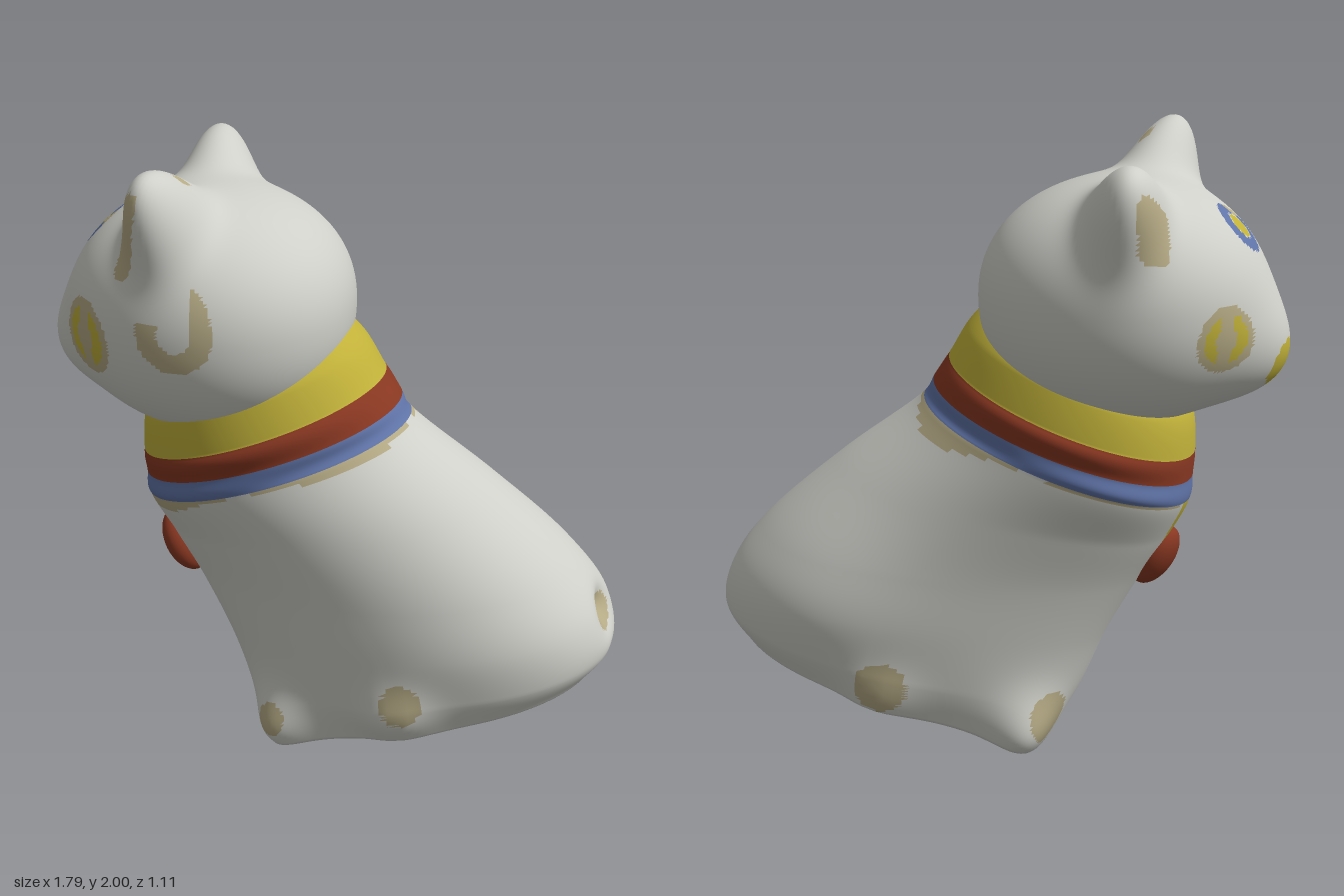
import * as THREE from 'three';

const palette = {
  glaze: 0xcfcfc9, yellow: 0xc2b23a, red: 0x8a3822,
  blue: 0x6074a8, tan: 0xb6ab86, dark: 0x121212,
};
const names = Object.keys(palette);
const materials = names.map((name) => {
  const m = new THREE.MeshStandardMaterial({ color: palette[name] });
  m.name = name;
  return m;
});
const V = (x, y, z) => new THREE.Vector3(x, y, z);

// Closed skin of rows x cols points; paint(point, row) names the colour of each triangle
function skin(name, rows, cols, point, paint) {
  const pts = [];
  for (let i = 0; i <= rows; i++)
    for (let j = 0; j < cols; j++) pts.push(point(i, (j / cols) * Math.PI * 2));
  const buckets = names.map(() => []);
  const mid = V(0, 0, 0);
  const tri = (row, a, b, c) => {
    mid.copy(pts[a]).add(pts[b]).add(pts[c]).divideScalar(3);
    buckets[names.indexOf(paint(mid, row))].push(a, b, c);
  };
  for (let i = 0; i < rows; i++)
    for (let j = 0; j < cols; j++) {
      const k = (j + 1) % cols;
      const a = i * cols + j, b = i * cols + k, c = a + cols, d = b + cols;
      tri(i + 0.5, a, b, d);
      tri(i + 0.5, a, d, c);
    }
  const geo = new THREE.BufferGeometry().setFromPoints(pts);
  geo.setIndex(buckets.flat());
  let start = 0;
  buckets.forEach((b, m) => {
    if (b.length) geo.addGroup(start, b.length, m);
    start += b.length;
  });
  geo.computeVertexNormals();
  const mesh = new THREE.Mesh(geo, materials);
  mesh.name = name;
  return mesh;
}

// Body: slanted sections from base to neck [frontX, frontY, backX, backY, frontWidth, backWidth]
const sections = [
  [-0.19, 0.02, 0.82, 0.33, 0.28, 0.36],
  [-0.265, 0.16, 0.875, 0.42, 0.30, 0.42],
  [-0.35, 0.36, 0.85, 0.55, 0.30, 0.45],
  [-0.45, 0.55, 0.74, 0.70, 0.30, 0.43],
  [-0.54, 0.70, 0.49, 0.93, 0.32, 0.39],
  [-0.61, 0.84, 0.22, 1.15, 0.36, 0.355],
  [-0.615, 0.91, 0.19, 1.205, 0.36, 0.355],
  [-0.62, 0.99, 0.14, 1.285, 0.36, 0.355],
  [-0.61, 1.12, 0.08, 1.39, 0.345, 0.34],
  [-0.55, 1.25, 0.0, 1.48, 0.27, 0.27],
];
const axisZ = (x) => 0.005 - (x > 0 ? 0.32 : 0.25) * x;
const frontLine = new THREE.CatmullRomCurve3(sections.map((s) => V(s[0], s[1], axisZ(s[0]))));
const backLine = new THREE.CatmullRomCurve3(sections.map((s) => V(s[2], s[3], axisZ(s[2]))));
const widths = new THREE.CatmullRomCurve3(sections.map((s) => V(s[4], s[5], 0)));
const across = V(0.25, 0, 1).normalize();

// Soft pushes that form paws, haunch, tail hollow and base hollow: place, movement, reach
const pushes = [
  [V(-0.08, 0.09, 0.3), V(-0.02, -0.02, 0.1), 0.12],
  [V(-0.2, 0.08, -0.17), V(-0.05, -0.03, -0.06), 0.12],
  [V(0.37, 0.22, 0.25), V(0, 0, 0.06), 0.12],
  [V(0.2, 0.18, -0.38), V(0, 0, -0.05), 0.12],
  [V(0.38, 0.52, -0.48), V(0, 0, -0.035), 0.28],
  [V(0.84, 0.52, -0.27), V(-0.06, 0, 0.01), 0.07],
  [V(0.53, 0.25, -0.18), V(-0.01, 0.05, 0), 0.09],
];
const pawMarks = [V(-0.09, 0.15, 0.38), V(-0.28, 0.12, -0.13), V(0.4, 0.32, 0.33), V(0.18, 0.25, -0.43)];
const capRows = 18, perSection = 14;
const bodyRows = capRows + perSection * (sections.length - 1);

function bodyPoint(i, angle) {
  const t = Math.max(0, i - capRows) / (bodyRows - capRows);
  const shrink = Math.min(1, i / capRows);
  const f = frontLine.getPoint(t), b = backLine.getPoint(t), w = widths.getPoint(t);
  // Squarer at the front paws, rounder at the rump
  const square = Math.cos(angle) > 0 ? 0.68 : 0.95;
  const power = square + (1 - square) * Math.min(1, t * 2.2);
  const bend = (v) => Math.sign(v) * Math.abs(v) ** power;
  const along = 0.5 - 0.5 * bend(Math.cos(angle)) * shrink;
  const p = f.lerp(b, along);
  p.addScaledVector(across, (w.x + (w.y - w.x) * along) * bend(Math.sin(angle)) * shrink);
  const q = p.clone();
  for (const [at, move, size] of pushes)
    p.addScaledVector(move, Math.exp(-q.distanceToSquared(at) / size ** 2));
  p.y = Math.max(0, p.y);
  return p;
}

function bodyPaint(p, row) {
  // Hole under the base
  if (row < capRows) {
    const d = Math.hypot(p.x - 0.53, p.z + 0.18);
    return d < 0.06 ? 'dark' : d < 0.09 ? 'tan' : 'glaze';
  }
  // Collar bands
  const s = (row - capRows) / perSection;
  if (s > 7) return 'yellow';
  if (s > 6) return 'red';
  if (s > 5) return 'blue';
  if (s > 4.84 + 0.13 * Math.sin(p.x * 9 + p.z * 7)) return 'tan';
  // Tail mark, bell strap and paw marks
  if (p.x > 0.6 && Math.hypot(p.y - 0.52, (p.z + 0.27) * 0.75) < 0.055) return 'tan';
  if (p.x < -0.45 && p.y > 0.7 && Math.abs(p.z - 0.16) < 0.06) return 'yellow';
  return pawMarks.some((m) => m.distanceTo(p) < 0.088) ? 'tan' : 'glaze';
}

// Head frame: forward, up and side axes about a centre
const centre = V(-0.38, 1.49, 0.1);
const forward = V(-0.96, 0, 0.28), side = V(0.28, 0, 0.96);
const ears = [[V(0.11, 0.51, 0.4).normalize(), 0.225], [V(0.11, 0.43, -0.46).normalize(), 0.2]];
const muzzle = V(0.52, -0.19, 0).normalize();
const nose = V(0.52, -0.19, -0.02).normalize();
const headRows = 130;

function headPoint(i, angle) {
  const lat = (i / headRows - 0.5) * Math.PI;
  const d = V(Math.cos(lat) * Math.cos(angle), Math.sin(lat), Math.cos(lat) * Math.sin(angle));
  // Shorter behind, deeper below, slightly boxy
  const size = [d.x < 0 ? 0.435 : 0.46, d.y < 0 ? 0.4 : 0.365, 0.44], n = 2.12;
  let r = d.toArray().reduce((sum, v, k) => sum + Math.abs(v / size[k]) ** n, 0) ** (-1 / n);
  for (const [e, height] of ears) {
    const a = ((d.x - e.x) / 0.21) ** 2 + ((d.y - e.y) ** 2 + (d.z - e.z) ** 2) / 0.31 ** 2;
    r += height * Math.exp(-a) + 0.025 * Math.exp(-a / 5);
  }
  r += 0.1 * Math.exp(-d.distanceToSquared(muzzle) / 0.14);
  return centre.clone().addScaledVector(forward, d.x * r).addScaledVector(side, d.z * r).add(V(0, d.y * r, 0));
}

// Local sideways and upward offsets of direction d from a mark's centre
function offset(d, mark) {
  const c = mark.clone().normalize();
  if (d.dot(c) < 0.7) return [9, 9];
  const u = V(0, 1, 0).cross(c).normalize();
  const v = c.clone().cross(u);
  return [d.dot(u) * 0.45, d.dot(v) * 0.45];
}

// Eye and ear marks on each side: [eye centre, eye radius, ear stroke centre, half width, half height, tilt]
const faceMarks = [
  [V(0.3, -0.03, 0.28), 0.12, V(0.17, 0.3, 0.38), 0.04, 0.095, 0.25],
  [V(0.325, -0.06, -0.23), 0.1, V(0.17, 0.24, -0.38), 0.05, 0.075, 0],
];

function headPaint(p) {
  const rel = p.clone().sub(centre);
  const d = V(rel.dot(forward), rel.y, rel.dot(side)).normalize();
  // Nose
  if (d.distanceTo(nose) < 0.15) return 'yellow';
  // Forehead ring
  let [u, v] = offset(d, V(0.37, 0.23, 0.0));
  let r = Math.hypot(u, v);
  if (r < 0.045) return 'yellow';
  if (r > 0.05 && r < 0.095) return u < -0.03 && v > 0.03 ? 'tan' : 'blue';
  for (const [eye, radius, stroke, wide, high, tilt] of faceMarks) {
    // Eyes
    [u, v] = offset(d, eye);
    r = Math.hypot(u, v) / radius;
    if (r > 0.4 && r < 0.76 && Math.abs(u) > 0.25 * radius) return 'yellow';
    if (r < 1) return 'tan';
    // Inner ear strokes
    [u, v] = offset(d, stroke);
    if (Math.hypot((u + tilt * v) / wide, (v / high) ** 3) < 1) return 'tan';
  }
  // Small fleck behind one ear
  [u, v] = offset(d, V(0.03, 0.42, 0.21));
  if (Math.hypot(u, v) < 0.018) return 'tan';
  // Cheek crescent, with its rear arm taller
  [u, v] = offset(d, V(0.01, 0.04, 0.42));
  r = Math.hypot(u, v > 0 ? v * 0.7 : v);
  return r > 0.052 && r < 0.12 && (v < 0.035 || u < -0.05) ? 'tan' : 'glaze';
}

export function createModel() {
  const group = new THREE.Group();
  group.name = 'seatedCatFigurine';
  group.add(skin('body', bodyRows, 200, bodyPoint, bodyPaint));
  group.add(skin('head', headRows, 200, headPoint, headPaint));

  // Bell on the chest
  const bell = new THREE.Mesh(new THREE.SphereGeometry(1, 32, 20), materials[names.indexOf('red')]);
  bell.name = 'bell';
  bell.scale.set(0.06, 0.112, 0.085);
  bell.position.set(-0.495, 0.635, 0.16);
  bell.rotation.z = 0.52;
  group.add(bell);
  return group;
}
